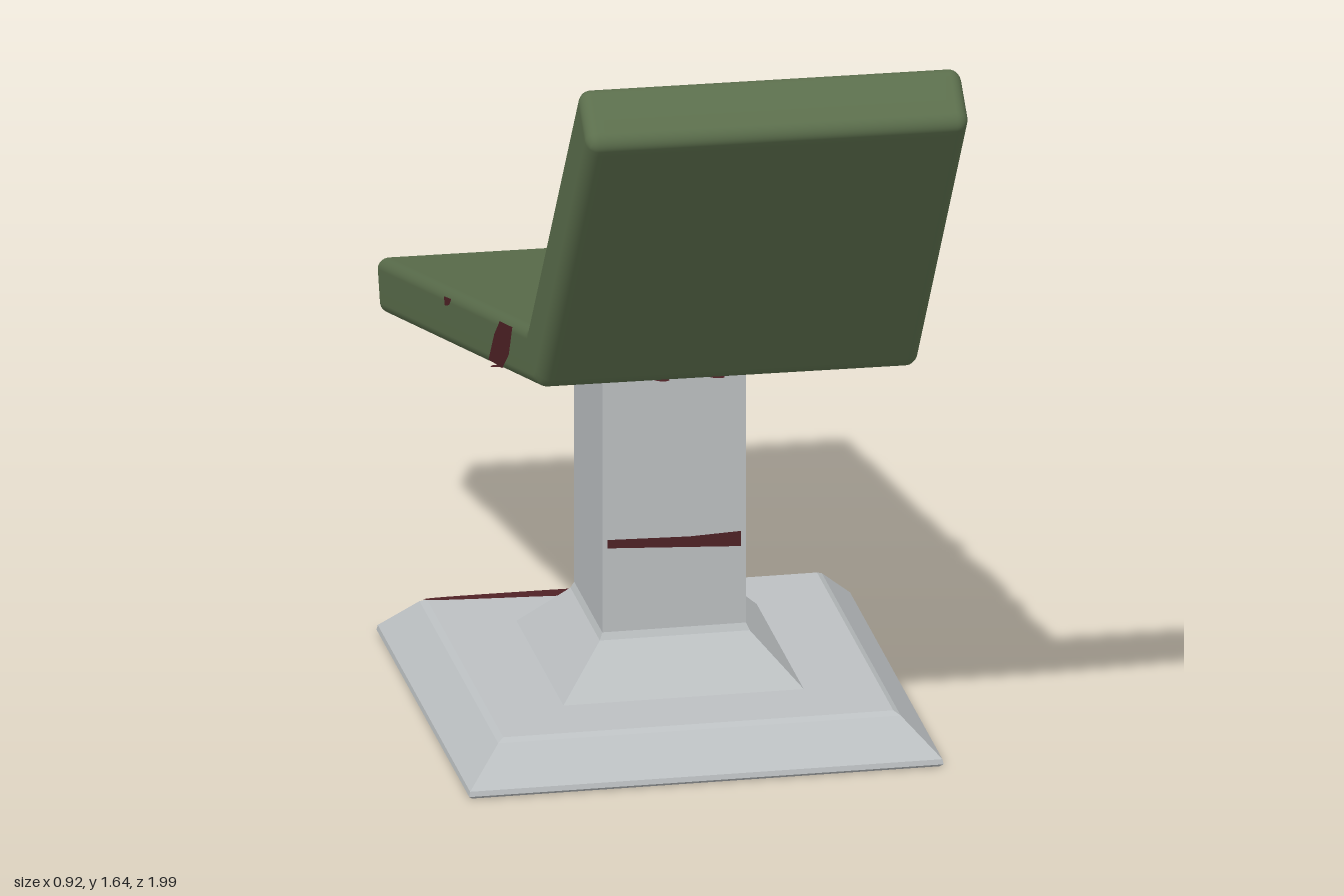
import * as THREE from 'three';
import { mergeVertices } from 'three/addons/utils/BufferGeometryUtils.js';

const vinyl = new THREE.MeshStandardMaterial({ color: 0x5b6e4c });
vinyl.name = 'green vinyl';
const metal = new THREE.MeshStandardMaterial({ color: 0xbcc0c2 });
metal.name = 'pale grey metal';
const stain = new THREE.MeshStandardMaterial({ color: 0x4f2226, side: THREE.DoubleSide });
stain.name = 'dark red stain';

// Side profile of the bed as [z, y]: head, bend, foot
const TOP = [[0.895, 1.642], [0.43, 0.977], [-1.0, 0.592]];
const BOTTOM = [[1.0, 1.558], [0.54, 0.895], [-0.96, 0.493]];
const BACK = 0.81, SEAT = 1.5, LENGTH = BACK + SEAT;
const WIDTH = 0.746, THICK = 0.12, ROUND = 0.024;

// Point on a profile line at distance s from the head
function along(line, s) {
  const [a, b, k] = s < BACK ? [line[0], line[1], s / BACK] : [line[1], line[2], (s - BACK) / SEAT];
  return [a[0] + (b[0] - a[0]) * k, a[1] + (b[1] - a[1]) * k];
}
const seatTop = z => TOP[1][1] + (z - TOP[1][0]) * 0.2692;
const seatBottom = z => BOTTOM[1][1] + (z - BOTTOM[1][0]) * 0.268;

// Padded bed: a rounded box with button dimples, bent along the profile
function bedGeometry() {
  const size = [WIDTH, THICK, LENGTH], n = [54, 10, 156], k = 4;
  let g = new THREE.BoxGeometry(...size, ...n);
  g.deleteAttribute('uv');
  g.deleteAttribute('normal');
  g = mergeVertices(g, 1e-5);
  const pos = g.attributes.position;
  // Crowd the first and last k rows into the rounded edge
  const spread = (v, axis) => {
    const count = n[axis], half = size[axis] / 2;
    const i = Math.round((v / size[axis] + 0.5) * count);
    const edge = j => half - ROUND + ROUND * Math.tan((1 - j / k) * Math.PI / 4);
    if (i < k) return -edge(i);
    if (i > count - k) return edge(count - i);
    return (half - ROUND) * (2 * (i - k) / (count - 2 * k) - 1);
  };
  const p = new THREE.Vector3(), core = new THREE.Vector3();
  for (let i = 0; i < pos.count; i++) {
    p.fromBufferAttribute(pos, i);
    p.set(spread(p.x, 0), spread(p.y, 1), spread(p.z, 2));
    ['x', 'y', 'z'].forEach((c, a) => {
      const m = size[a] / 2 - ROUND;
      core[c] = THREE.MathUtils.clamp(p[c], -m, m);
    });
    p.sub(core).setLength(ROUND).add(core);
    const s = LENGTH / 2 - p.z;
    if (p.y > THICK * 0.4) {
      for (const x of [-0.155, 0.165]) for (const d of [0.264, 0.528]) {
        const r2 = (p.x - x) ** 2 + (s - d) ** 2;
        p.y -= 0.014 * Math.exp(-r2 / 0.0036) + 0.028 * Math.exp(-r2 / 0.0005);
      }
    }
    const t = p.y / THICK + 0.5, a = along(BOTTOM, s), b = along(TOP, s);
    pos.setXYZ(i, p.x, a[1] + (b[1] - a[1]) * t, a[0] + (b[0] - a[0]) * t);
  }
  g.computeVertexNormals();
  return g;
}

// Thin stain: a flat outline laid on a surface by the rule place(a, b)
function addStain(parent, name, points, place, curved = true) {
  const v = points.map(q => new THREE.Vector2(...q));
  const shape = new THREE.Shape();
  shape.moveTo(v[0].x, v[0].y);
  if (curved) shape.splineThru([...v.slice(1), v[0]]);
  else v.slice(1).forEach(q => shape.lineTo(q.x, q.y));
  const g = new THREE.ShapeGeometry(shape, 30);
  const pos = g.attributes.position;
  for (let i = 0; i < pos.count; i++) pos.setXYZ(i, ...place(pos.getX(i), pos.getY(i)));
  g.computeVertexNormals();
  const mesh = new THREE.Mesh(g, stain);
  mesh.name = name;
  parent.add(mesh);
}

// Four-sided solid from a profile of [half width, y]
function squareLathe(name, profile) {
  const pts = profile.map(([h, y]) => new THREE.Vector2(h * Math.SQRT2, y));
  const g = new THREE.LatheGeometry(pts, 4, Math.PI / 4).toNonIndexed();
  g.computeVertexNormals();
  const mesh = new THREE.Mesh(g, metal);
  mesh.name = name;
  return mesh;
}

export function createModel() {
  const model = new THREE.Group();
  model.name = 'reclinedTable';

  // Pedestal
  const pedestal = new THREE.Group();
  pedestal.name = 'pedestal';
  pedestal.position.z = -0.092;
  pedestal.add(
    squareLathe('footPlate', [[0, 0], [0.455, 0], [0.462, 0.006], [0.46, 0.016],
      [0.392, 0.085], [0.38, 0.092], [0, 0.092]]),
    squareLathe('column', [[0, 0.08], [0.236, 0.09], [0.146, 0.186], [0.14, 0.2], [0.14, 0.77], [0, 0.77]]),
  );
  addStain(pedestal, 'columnStain', [[-0.13, 0.372], [0.13, 0.358], [0.13, 0.389], [0.03, 0.385], [-0.13, 0.389]],
    (x, y) => [x, y, 0.143], false);
  addStain(pedestal, 'footPlateStain', [[0, -0.375], [-0.09, -0.345], [-0.2, -0.35], [-0.36, -0.365], [-0.37, -0.378], [-0.18, -0.379]],
    (x, z) => [x, 0.095, z]);
  model.add(pedestal);

  // Bed, very slightly askew on the pedestal
  const bed = new THREE.Group();
  bed.name = 'bed';
  bed.position.x = -0.007;
  bed.rotation.set(0, 0.006, -0.013);
  const padding = new THREE.Mesh(bedGeometry(), vinyl);
  padding.name = 'padding';
  bed.add(padding);

  // Pool and drips on the seat
  const onTop = (x, z) => [x, seatTop(z) + 0.004, z];
  addStain(bed, 'seatPool', [[-0.2, 0.035], [-0.14, 0.012], [-0.11, -0.03], [-0.04, -0.035], [0.02, -0.025],
    [0.07, 0.003], [0.13, 0.02], [0.18, -0.005], [0.22, 0.003], [0.27, -0.005], [0.31, -0.07], [0.34, -0.13],
    [0.365, -0.1], [0.366, 0.1], [0.31, 0.07], [0.24, 0.065], [0.2, 0.11], [0.15, 0.128], [0.1, 0.11],
    [0.05, 0.075], [0, 0.095], [-0.05, 0.145], [-0.13, 0.166], [-0.195, 0.135], [-0.215, 0.08]], onTop);
  for (const [x, z, endX, endZ] of [[-0.13, -0.53, -0.115, -0.01], [-0.085, -0.57, -0.068, -0.02],
    [0.192, -0.69, 0.215, 0.01], [0.328, -0.66, 0.343, -0.1]]) {
    const midX = (x + endX) / 2, midZ = (z + endZ) / 2;
    addStain(bed, 'seatDrip', [[x - 0.01, z], [x + 0.01, z], [x + 0.008, z + 0.06], [midX + 0.008, midZ],
      [endX + 0.022, endZ], [endX - 0.016, endZ], [midX - 0.008, midZ], [x - 0.006, z + 0.06]], onTop, false);
  }

  // Stains on both sides, as [z, y]
  const onSide = sign => (z, y) => [sign * (WIDTH / 2 + 0.003), y, z];
  addStain(bed, 'leftSideBand', [[0.205, 0.908], [0.13, 0.888], [0.135, 0.84], [0.12, 0.79], [0.215, 0.815], [0.2, 0.86]],
    onSide(1), false);
  addStain(bed, 'leftSideStreak', [[-0.18, 0.808], [-0.26, 0.785], [-0.33, 0.745], [-0.45, 0.705], [-0.52, 0.682],
    [-0.5, 0.676], [-0.38, 0.715], [-0.28, 0.755]], onSide(1), false);
  addStain(bed, 'rightSideBand', [[0.32, 0.937], [0.2, 0.905], [0.15, 0.86], [0.1, 0.79], [0.23, 0.82], [0.29, 0.87]],
    onSide(-1), false);
  addStain(bed, 'rightSideSpot', [[-0.26, 0.78], [-0.33, 0.76], [-0.32, 0.745], [-0.28, 0.76]], onSide(-1), false);

  // Stains on the underside
  const under = (x, z) => [x, seatBottom(z) - 0.004, z];
  addStain(bed, 'undersidePool', [[-0.36, 0.06], [-0.22, 0.035], [-0.05, 0.03], [0.1, 0.03], [0.2, 0.035], [0.27, 0.06],
    [0.21, 0.1], [0.15, 0.06], [0.06, 0.075], [0, 0.13], [-0.06, 0.08], [-0.12, 0.12], [-0.25, 0.15], [-0.36, 0.1]], under);
  for (const x of [-0.12, -0.012]) {
    addStain(bed, 'undersideDrip', [[x, 0.28], [x + 0.016, 0.38], [x + 0.014, 0.5], [x, 0.53], [x - 0.014, 0.5], [x - 0.016, 0.38]], under);
  }
  model.add(bed);
  return model;
}
